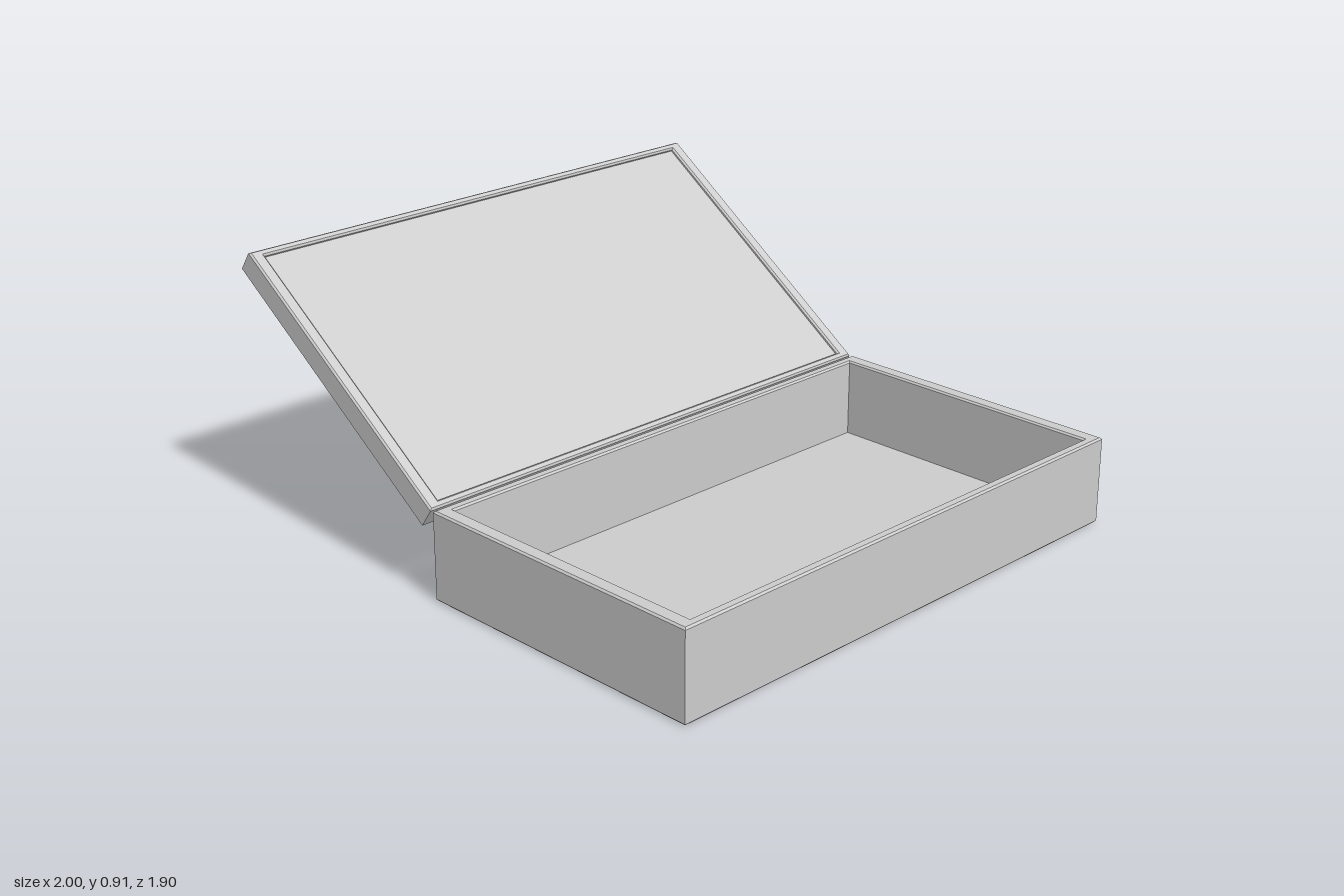
import * as THREE from 'three';

const BEVEL = 0.006;

// Counter-clockwise rectangle centred on the origin
function rect(Type, w, d) {
  const p = new Type();
  p.moveTo(-w / 2, -d / 2);
  p.lineTo(w / 2, -d / 2);
  p.lineTo(w / 2, d / 2);
  p.lineTo(-w / 2, d / 2);
  p.closePath();
  return p;
}

// Open tray standing on y = 0: a bevelled wall frame around a floor slab
function tray(name, w, h, d, wallX, wallZ, floorThickness, material) {
  const group = new THREE.Group();
  group.name = name;

  const shape = rect(THREE.Shape, w, d);
  shape.holes.push(rect(THREE.Path, w - 2 * wallX, d - 2 * wallZ));
  const frame = new THREE.ExtrudeGeometry(shape, {
    depth: h - 2 * BEVEL,
    bevelEnabled: true,
    bevelSize: BEVEL,
    bevelThickness: BEVEL,
    bevelOffset: -BEVEL,
    bevelSegments: 1,
  });
  frame.translate(0, 0, BEVEL);
  frame.rotateX(-Math.PI / 2);
  const walls = new THREE.Mesh(frame, material);
  walls.name = name + 'Walls';

  const slab = new THREE.BoxGeometry(w - 2 * BEVEL, floorThickness, d - 2 * BEVEL);
  slab.translate(0, floorThickness / 2, 0);
  const floor = new THREE.Mesh(slab, material);
  floor.name = name + 'Floor';

  group.add(walls, floor);
  return group;
}

export function createModel() {
  const model = new THREE.Group();
  model.name = 'openBox';

  const grey = new THREE.MeshStandardMaterial({ color: 0xcccccc });
  grey.name = 'grey';

  // Deep base of the box
  const base = tray('base', 1.07, 0.3, 1.9, 0.035, 0.053, 0.03, grey);
  base.position.set(0.465, 0, 0);

  // Shallow lid, swung open with its recessed inside facing up
  const lid = tray('lid', 1.065, 0.086, 1.9, 0.026, 0.045, 0.074, grey);
  lid.position.set(-0.564, 0.535, 0);
  lid.rotation.z = -THREE.MathUtils.degToRad(35);

  model.add(base, lid);
  return model;
}
